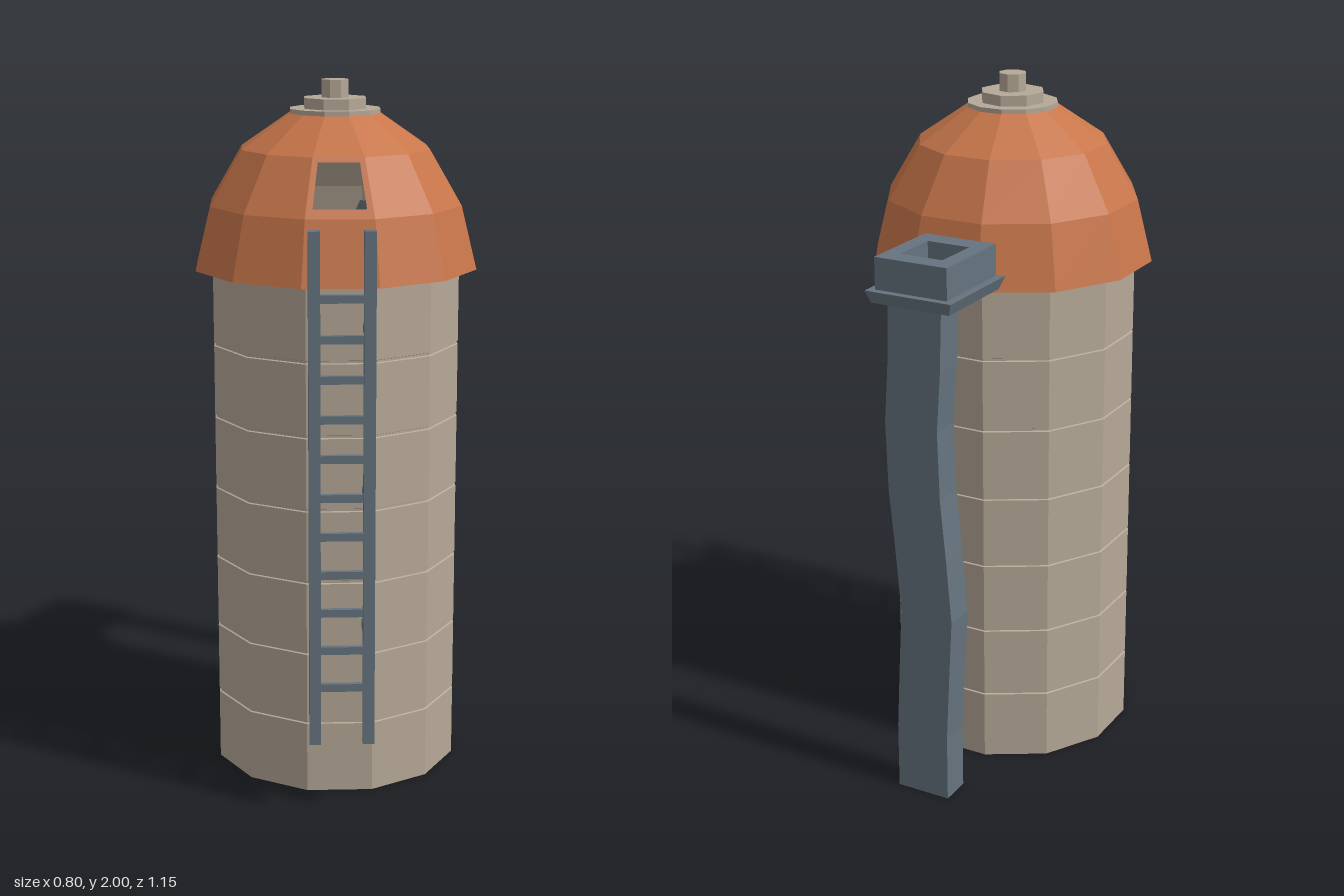
import * as THREE from 'three';

const mat = (color, side = THREE.FrontSide) => new THREE.MeshStandardMaterial({ color, side, flatShading: true });
const WALL = 0xb5a897, ROOF = 0xc8764a, STEEL = 0x66747f;
const STEP = Math.PI / 6, HALF = Math.PI / 12;

function add(parent, name, geometry, material, x = 0, y = 0, z = 0) {
  const mesh = new THREE.Mesh(geometry, material);
  mesh.name = name;
  mesh.position.set(x, y, z);
  parent.add(mesh);
  return mesh;
}

// Flat-shaded geometry from quads, corners counterclockwise from outside
function quadGeometry(quads) {
  const pos = [];
  for (const [a, b, c, d] of quads) for (const p of [a, b, c, a, c, d]) pos.push(...p);
  const g = new THREE.BufferGeometry();
  g.setAttribute('position', new THREE.Float32BufferAttribute(pos, 3));
  g.computeVertexNormals();
  return g;
}

// Quads joining two rings of four corners
const band = (lo, hi) => lo.map((p, i) => [p, lo[(i + 1) % 4], hi[(i + 1) % 4], hi[i]]);

// Closed solid through rectangles [y, x0, x1, d0, d1], d measured outward along -z
function loft(sections) {
  const rings = sections.map(([y, x0, x1, d0, d1]) =>
    [[x0, y, -d0], [x1, y, -d0], [x1, y, -d1], [x0, y, -d1]]);
  const quads = [[...rings[0]].reverse(), rings[rings.length - 1]];
  for (let i = 1; i < rings.length; i++) quads.push(...band(rings[i - 1], rings[i]));
  return quadGeometry(quads);
}

// Twelve-sided dome with a hatch opening in the front facet of the middle tier
function domeGeometry() {
  const profile = [[0.41, 1.475], [0.365, 1.655], [0.273, 1.81], [0.131, 1.907]];
  const at = ([r, y], k) => [r * Math.sin(k * STEP - HALF), y, r * Math.cos(k * STEP - HALF)];
  const quads = [];
  for (let t = 0; t < 3; t++) {
    for (let k = 0; k < 12; k++) {
      const face = [at(profile[t], k), at(profile[t], k + 1), at(profile[t + 1], k + 1), at(profile[t + 1], k)];
      if (t === 1 && k === 0) {
        const hole = [[-0.073, 1.68, 0.338], [0.073, 1.68, 0.338], [0.057, 1.797, 0.271], [-0.057, 1.797, 0.271]];
        quads.push(...band(face, hole));
      } else quads.push(face);
    }
  }
  return quadGeometry(quads);
}

function buildSilo(silo) {
  // Open-bottomed wall with a narrow groove at every course
  const profile = [new THREE.Vector2(0.36, 0)];
  for (let i = 1; i <= 6; i++) {
    const y = i * 0.2105;
    for (const [r, dy] of [[0.36, -0.005], [0.355, -0.003], [0.355, 0.003], [0.36, 0.005]])
      profile.push(new THREE.Vector2(r, y + dy));
  }
  profile.push(new THREE.Vector2(0.36, 1.475));
  add(silo, 'wall', new THREE.LatheGeometry(profile, 12, HALF), mat(WALL, THREE.DoubleSide));
  add(silo, 'wallTop', new THREE.CircleGeometry(0.36, 12, HALF).rotateX(-Math.PI / 2),
    mat(WALL, THREE.DoubleSide), 0, 1.474, 0);

  // Dome, its lining and its eaves
  const dome = domeGeometry();
  add(silo, 'dome', dome, mat(ROOF));
  add(silo, 'domeLining', dome, mat(WALL, THREE.BackSide));
  add(silo, 'eaves', new THREE.RingGeometry(0.36, 0.41, 12, 1, HALF).rotateX(Math.PI / 2), mat(ROOF), 0, 1.475, 0);

  // Stacked cap and vent
  for (const [name, r, y0, y1, n] of [['capPlate', 0.131, 1.905, 1.92, 12],
    ['capCollar', 0.093, 1.92, 1.95, 8], ['vent', 0.04, 1.95, 2, 8]])
    add(silo, name, new THREE.CylinderGeometry(r, r, y1 - y0, n, 1, false, Math.PI / n), mat(WALL), 0, (y0 + y1) / 2, 0);
}

function buildLadder(ladder) {
  const steel = mat(STEEL);
  for (const side of [-1, 1]) {
    const x = side * 0.074;
    add(ladder, 'rail', new THREE.BoxGeometry(0.032, 1.435, 0.032), steel, x, 0.928, 0.488);
    for (const y of [0.51, 0.9, 1.365])
      add(ladder, 'bracket', new THREE.BoxGeometry(0.024, 0.024, 0.14), steel, x, y, 0.408);
  }
  for (let i = 0; i < 11; i++)
    add(ladder, 'rung', new THREE.BoxGeometry(0.13, 0.022, 0.014), steel, 0, 0.375 + i * 0.109, 0.488);
}

function buildChute(chute) {
  const steel = mat(STEEL);

  // Slightly crooked pipe of eight segments
  const heights = [0, 0.2, 0.395, 0.575, 0.76, 0.94, 1.14, 1.31, 1.485];
  const sway = [0, 0, -0.01, -0.02, -0.005, 0.012, 0.018, 0.006, 0];
  add(chute, 'pipe', loft(heights.map((y, i) => [y, sway[i] - 0.117, sway[i] + 0.047, 0.52, 0.61])), steel);

  // Flared tray under the hopper
  add(chute, 'tray', loft([[1.485, -0.155, 0.085, 0.36, 0.633], [1.52, -0.167, 0.097, 0.348, 0.645]]), steel);

  // Open-topped hopper
  const rect = (Type, x0, x1, d0, d1) => new Type([[x0, d0], [x1, d0], [x1, d1], [x0, d1]].map(p => new THREE.Vector2(...p)));
  const shape = rect(THREE.Shape, -0.144, 0.077, 0.36, 0.624);
  shape.holes.push(rect(THREE.Path, -0.098, 0.031, 0.426, 0.566));
  const hopper = new THREE.ExtrudeGeometry(shape, { depth: 0.09, bevelEnabled: false }).rotateX(-Math.PI / 2);
  add(chute, 'hopper', hopper, steel, 0, 1.52, 0);
}

export function createModel() {
  const model = new THREE.Group();
  model.name = 'grainSilo';
  for (const [name, build, turn] of [['silo', buildSilo, 0], ['ladder', buildLadder, 0], ['chute', buildChute, -Math.PI / 6]]) {
    const group = new THREE.Group();
    group.name = name;
    group.position.set(-0.007, 0, 0.071);
    group.rotation.y = turn;
    build(group);
    model.add(group);
  }
  return model;
}
